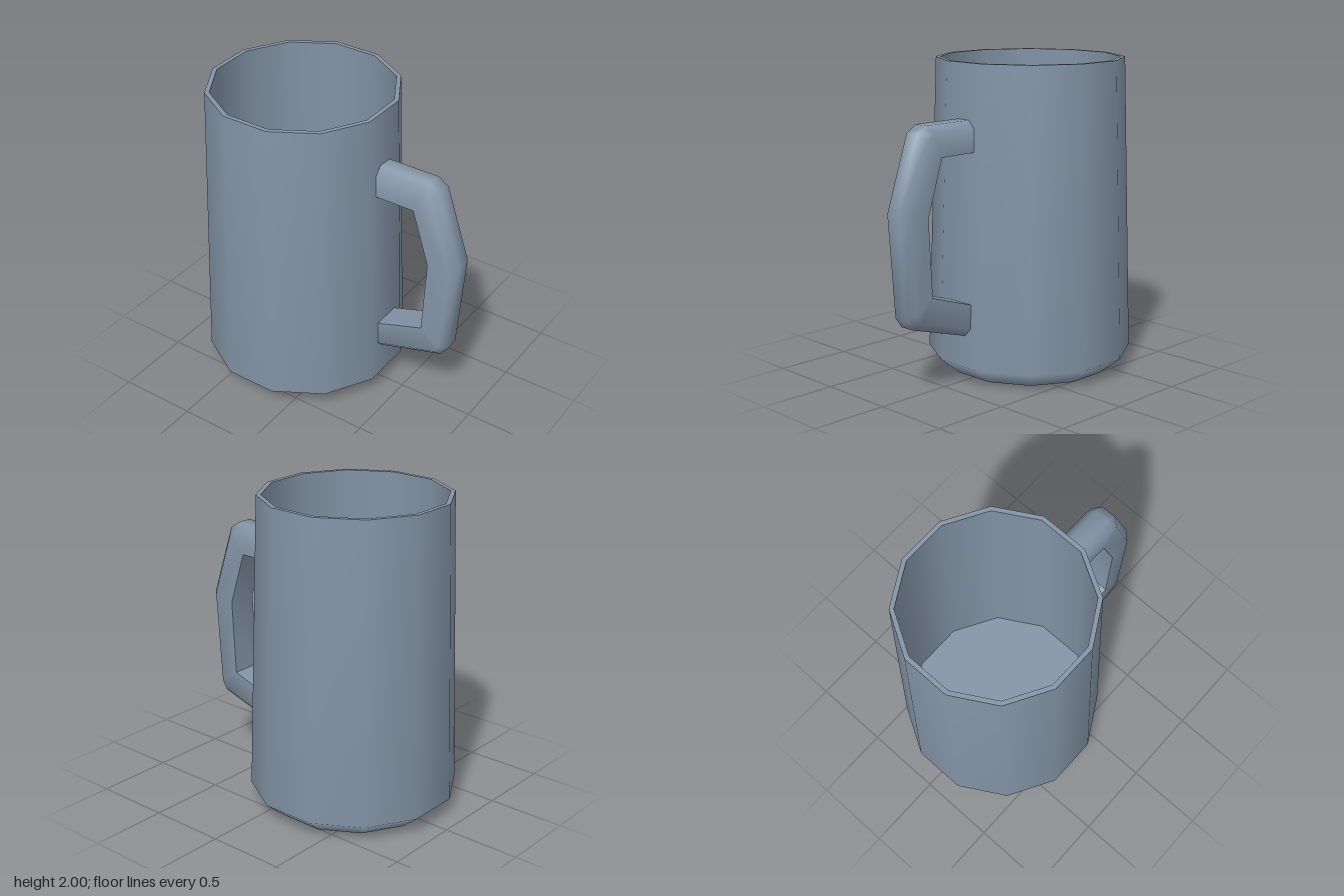
import * as THREE from 'three';
import { toCreasedNormals } from 'three/addons/utils/BufferGeometryUtils.js';

const SIDES = 12;
const CUP_X = -0.261;
const material = new THREE.MeshStandardMaterial({ color: 0x8394a6 });

// Twelve-sided surface of revolution; the profile holds [distance to flat, height]
function ring(name, profile) {
  const k = 1 / Math.cos(Math.PI / SIDES);
  const points = profile.map(([r, y]) => new THREE.Vector2(r * k, y));
  const mesh = new THREE.Mesh(new THREE.LatheGeometry(points, SIDES, Math.PI / SIDES), material);
  mesh.name = name;
  return mesh;
}

// Handle: sections run from an inner point to an outer point, outer edges chamfered
function handleGeometry() {
  const stations = [ // inner x, y, outer x, y
    [0.315, 1.465, 0.315, 1.657],
    [0.59, 1.465, 0.668, 1.657],
    [0.59, 1.465, 0.737, 1.612],
    [0.703, 1.115, 0.895, 1.15],
    [0.677, 0.625, 0.846, 0.505],
    [0.677, 0.625, 0.80, 0.441],
    [0.355, 0.517, 0.355, 0.308],
  ];
  const half = 0.098, bevel = 0.05;
  const sections = stations.map(([ix, iy, ox, oy]) => {
    const inner = new THREE.Vector2(ix, iy), outer = new THREE.Vector2(ox, oy);
    const shoulder = outer.clone().lerp(inner, bevel / outer.distanceTo(inner));
    return [[inner, half], [shoulder, half], [outer, half - bevel],
      [outer, bevel - half], [shoulder, -half], [inner, -half]];
  });
  const n = sections[0].length;
  const positions = sections.flat().flatMap(([p, z]) => [p.x, p.y, z]);
  const index = [];
  for (let s = 0; s < sections.length - 1; s++) {
    for (let i = 0; i < n; i++) {
      const j = (i + 1) % n;
      const a = s * n + i, b = s * n + j, c = a + n, d = b + n;
      // skip the collapsed inner side at the bevelled bends
      if (i === n - 1 && stations[s][0] === stations[s + 1][0]) continue;
      if (i === 0 || i === n - 1) index.push(a, c, d, a, d, b);
      else index.push(a, c, b, b, c, d);
    }
  }
  const geometry = new THREE.BufferGeometry();
  geometry.setAttribute('position', new THREE.Float32BufferAttribute(positions, 3));
  geometry.setIndex(index);
  return toCreasedNormals(geometry, THREE.MathUtils.degToRad(60));
}

export function createModel() {
  const model = new THREE.Group();
  model.name = 'mug';

  // Cup, with each creased zone as its own ring
  const cup = new THREE.Group();
  cup.name = 'cup';
  cup.position.x = CUP_X;
  cup.add(
    ring('base', [[0, 0], [0.505, 0]]),
    ring('outerWall', [[0.505, 0], [0.635, 0.11], [0.576, 2]]),
    ring('rim', [[0.576, 2], [0.548, 2]]),
    ring('innerWall', [[0.548, 2], [0.607, 0.11]]),
    ring('innerFloor', [[0.607, 0.11], [0, 0.11]]),
  );
  model.add(cup);

  // Handle on the left side
  const handle = new THREE.Mesh(handleGeometry(), material);
  handle.name = 'handle';
  model.add(handle);

  return model;
}
